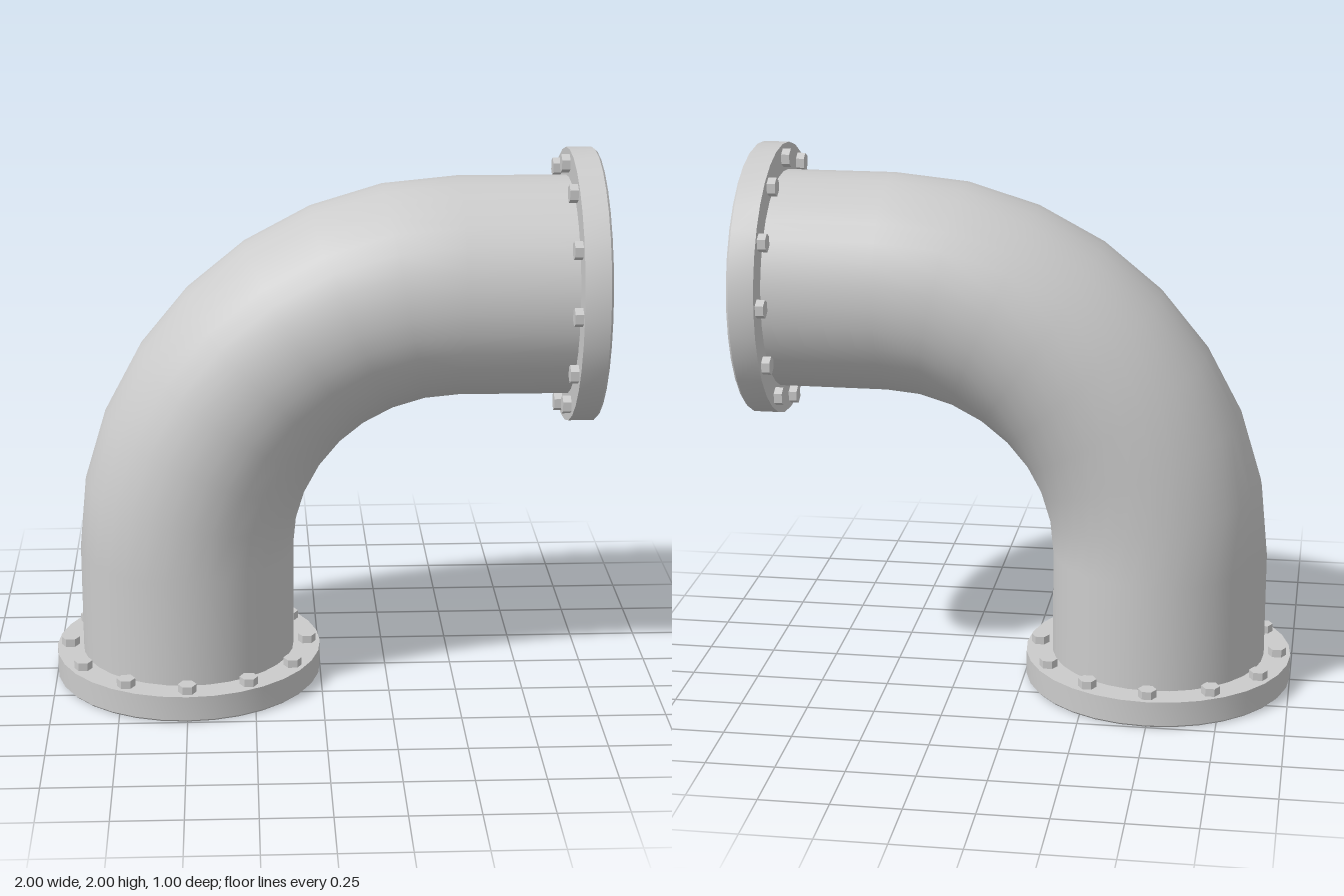
import * as THREE from 'three';
import { toCreasedNormals } from 'three/addons/utils/BufferGeometryUtils.js';

const SIDES = 32, PIPE_R = 0.4, BEND_R = 1, BEND_STEPS = 8;
const material = new THREE.MeshStandardMaterial({ color: 0xcccccc });

function addMesh(parent, name, geometry) {
  const mesh = new THREE.Mesh(geometry, material);
  mesh.name = name;
  parent.add(mesh);
  return mesh;
}

// Elbow: an open cylinder whose rows follow straight, quarter bend, straight
function elbowGeometry() {
  const rows = BEND_STEPS + 2;
  const geo = new THREE.CylinderGeometry(PIPE_R, PIPE_R, 1, SIDES, rows, true);
  const pos = geo.attributes.position, nor = geo.attributes.normal;
  for (let i = 0; i < pos.count; i++) {
    const row = Math.round((pos.getY(i) + 0.5) * rows);
    const step = THREE.MathUtils.clamp(row - 1, 0, BEND_STEPS);
    const a = (step / BEND_STEPS) * Math.PI / 2;
    const c = Math.cos(a), s = Math.sin(a);
    const r = BEND_R - pos.getX(i);
    let x = 0.5 - r * c, y = 0.5 + r * s;
    if (row === 0) y = 0.05;
    if (row === rows) x = 0.95;
    const nx = nor.getX(i);
    pos.setXYZ(i, x, y, pos.getZ(i));
    nor.setXYZ(i, nx * c, -nx * s, nor.getZ(i));
  }
  return geo;
}

// Flange: blind disc with a fine chamfer on its outer face and a ring of hex bolts
function makeFlange(name) {
  const flange = new THREE.Group();
  flange.name = name;
  const profile = [[0, 0], [0.492, 0], [0.5, 0.008], [0.5, 0.1], [0, 0.1]]
    .map(([x, y]) => new THREE.Vector2(x, y));
  addMesh(flange, 'flangeDisc', toCreasedNormals(new THREE.LatheGeometry(profile, SIDES), 0.5));

  const boltGeo = toCreasedNormals(new THREE.CylinderGeometry(0.034, 0.034, 0.03, 6), 0.5);
  boltGeo.rotateY(Math.PI / 2);
  for (let i = 0; i < 12; i++) {
    const a = (i / 12) * Math.PI * 2;
    addMesh(flange, 'bolt', boltGeo).position.set(0.45 * Math.cos(a), 0.115, 0.45 * Math.sin(a));
  }
  return flange;
}

export function createModel() {
  const model = new THREE.Group();
  model.name = 'flangedPipeElbow';
  addMesh(model, 'elbowPipe', elbowGeometry());

  const bottom = makeFlange('bottomFlange');
  bottom.position.set(-0.5, 0, 0);

  const side = makeFlange('sideFlange');
  side.position.set(1, 1.5, 0);
  side.rotation.z = Math.PI / 2;

  model.add(bottom, side);
  return model;
}
